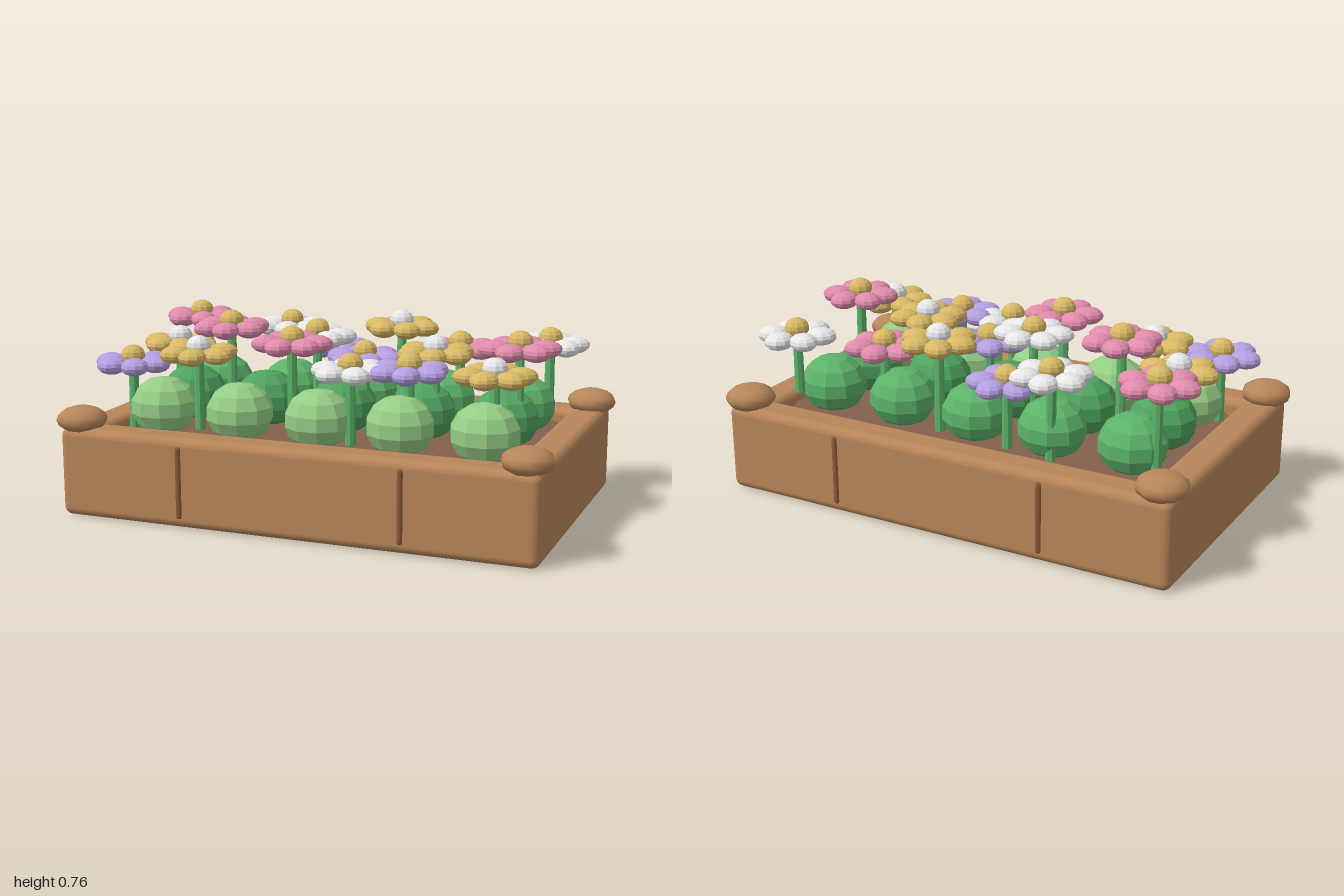
import * as THREE from 'three';
import { RoundedBoxGeometry } from 'three/addons/geometries/RoundedBoxGeometry.js';

const paint = (name, color, flatShading = false) => {
  const m = new THREE.MeshStandardMaterial({ color, flatShading });
  m.name = name;
  return m;
};

export function createModel() {
  const model = new THREE.Group();
  model.name = 'flowerPlanter';

  const wood = paint('wood', 0xb8865a);
  const groove = paint('darkWood', 0x8a5a38);
  const soil = paint('soil', 0x83604c);
  const lightLeaf = paint('lightLeaf', 0x95cd85, true);
  const midLeaf = paint('midLeaf', 0x5db36a, true);
  const darkLeaf = paint('darkLeaf', 0x4fa35f, true);
  const pink = paint('pink', 0xe08bac, true);
  const yellow = paint('yellow', 0xd8b865, true);
  const white = paint('white', 0xeeeeee, true);
  const purple = paint('purple', 0xb59fe0, true);

  const add = (parent, name, geometry, material, x, y, z) => {
    const mesh = new THREE.Mesh(geometry, material);
    mesh.name = name;
    mesh.position.set(x, y, z);
    parent.add(mesh);
    return mesh;
  };

  // Wooden frame: long and short rounded planks, with slim grooves
  const longPlank = new RoundedBoxGeometry(1.93, 0.355, 0.145, 4, 0.035);
  const shortPlank = new RoundedBoxGeometry(0.145, 0.355, 1.19, 4, 0.035);
  const grooveGeo = new THREE.CapsuleGeometry(0.012, 0.262, 4, 8);
  const knobGeo = new THREE.SphereGeometry(0.1, 10, 8);
  knobGeo.scale(1, 0.53, 1);
  for (const s of [-1, 1]) {
    add(model, 'longPlank', longPlank, wood, 0, 0.1785, s * 0.522);
    add(model, 'shortPlank', shortPlank, wood, s * 0.893, 0.1785, 0);
    for (const t of [-1, 1]) {
      add(model, 'groove', grooveGeo, groove, t * 0.447, 0.183, s * 0.593);
      add(model, 'cornerKnob', knobGeo, wood, t * 0.9, 0.382, s * 0.525);
    }
  }

  // Soil bed with rounded corners
  const w = 0.825, d = 0.45, r = 0.16;
  const bed = new THREE.Shape();
  bed.absarc(w - r, d - r, r, 0, Math.PI / 2);
  bed.absarc(r - w, d - r, r, Math.PI / 2, Math.PI);
  bed.absarc(r - w, r - d, r, Math.PI, Math.PI * 1.5);
  bed.absarc(w - r, r - d, r, Math.PI * 1.5, Math.PI * 2);
  const bedGeo = new THREE.ExtrudeGeometry(bed, { depth: 0.11, bevelEnabled: false, curveSegments: 8 });
  bedGeo.rotateX(-Math.PI / 2);
  add(model, 'soil', bedGeo, soil, 0, 0.2, 0);

  // Three rows of faceted bushes
  const bushGeo = new THREE.SphereGeometry(0.138, 10, 7);
  bushGeo.scale(1, 0.87, 0.96);
  [[-0.27, midLeaf], [0, darkLeaf], [0.27, lightLeaf]].forEach(([z, leaf]) => {
    for (let i = -2; i <= 2; i++) add(model, 'bush', bushGeo, leaf, i * 0.335, 0.402, z);
  });

  // Flowers: x, petal height, z, petal colour, stem base
  const flowers = [
    [-0.785, 0.67, -0.315, pink], [-0.375, 0.645, -0.36, white],
    [-0.175, 0.575, -0.335, purple], [0.14, 0.68, -0.31, yellow],
    [0.4, 0.61, -0.295, pink], [0.75, 0.63, -0.395, white, 0.39],
    [-0.73, 0.61, 0, yellow], [-0.49, 0.69, 0.005, pink, 0.375],
    [-0.125, 0.67, -0.03, white], [0.09, 0.6, -0.005, purple],
    [0.395, 0.645, 0.025, yellow], [0.735, 0.685, 0.035, pink],
    [-0.775, 0.58, 0.325, purple], [-0.525, 0.62, 0.24, yellow],
    [-0.13, 0.68, 0.22, pink], [0.135, 0.6, 0.275, white],
    [0.36, 0.61, 0.24, purple], [0.695, 0.615, 0.24, yellow],
  ];
  const petalGeo = new THREE.SphereGeometry(1, 10, 8);
  petalGeo.scale(0.064, 0.035, 0.056);
  petalGeo.translate(0.097, 0, 0);
  const centreGeo = new THREE.SphereGeometry(0.05, 10, 8);
  centreGeo.scale(1, 0.85, 1);
  flowers.forEach(([x, y, z, colour, base = 0.3], i) => {
    const flower = new THREE.Group();
    flower.name = 'flower';
    flower.position.set(x, y, z);
    flower.rotation.y = i * 0.7;
    const stem = new THREE.CylinderGeometry(0.019, 0.021, y - base, 8);
    add(flower, 'stem', stem, midLeaf, 0, (base - y) / 2, 0);
    for (let p = 0; p < 6; p++) {
      add(flower, 'petal', petalGeo, colour, 0, 0, 0).rotation.y = (p * Math.PI) / 3;
    }
    add(flower, 'flowerCentre', centreGeo, colour === yellow ? white : yellow, 0, 0.03, 0);
    model.add(flower);
  });

  return model;
}
